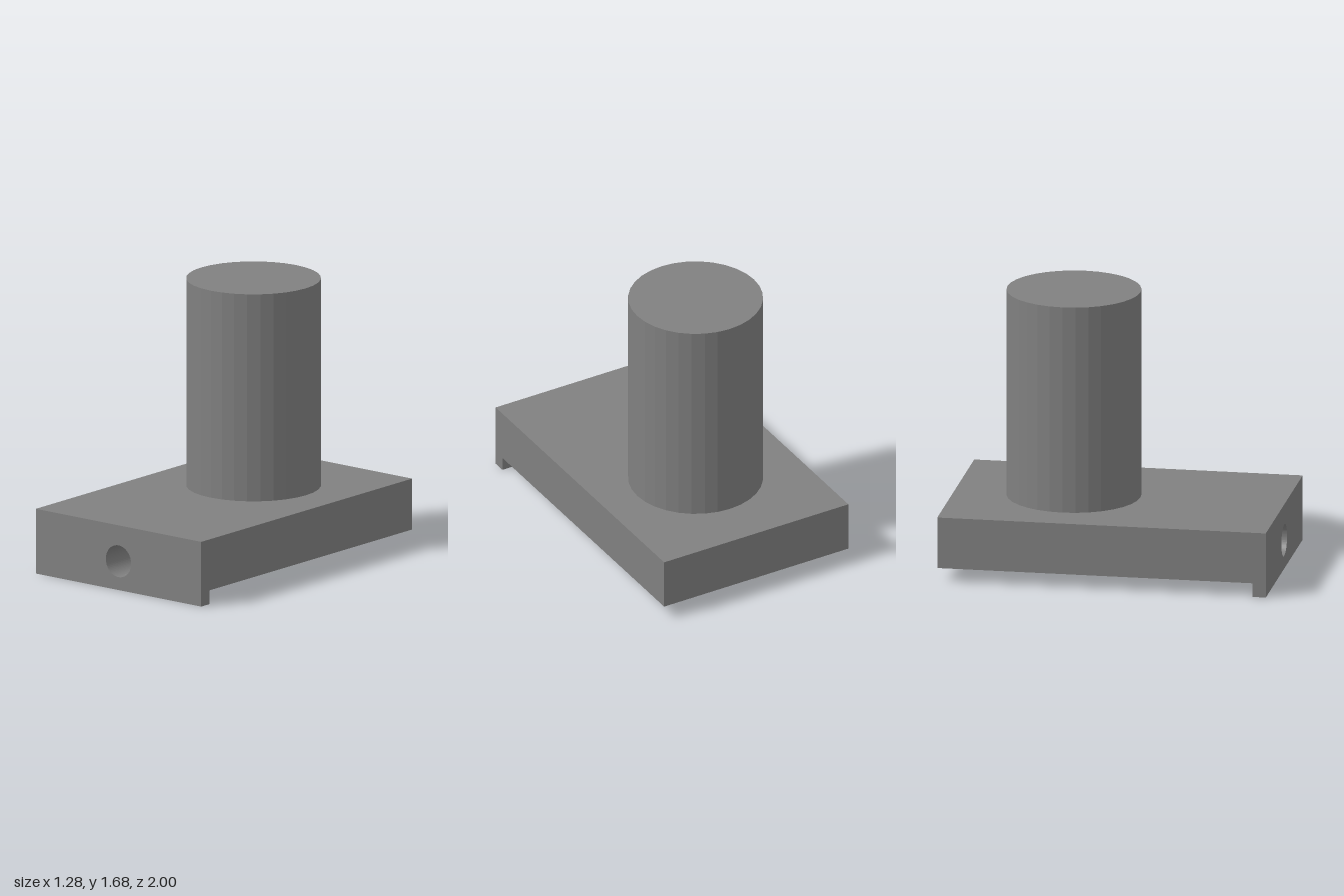
import * as THREE from 'three';

export function createModel() {
  const model = new THREE.Group();
  const grey = new THREE.MeshStandardMaterial({ color: 0x808080, flatShading: true });
  grey.name = 'plain grey';
  const greyThin = grey.clone();
  greyThin.side = THREE.DoubleSide;
  greyThin.name = 'plain grey thin';

  const W = 0.64, TOP = 0.4, BOTTOM = 0.085, LIP = 0.92;
  const boreR = 0.098, boreY = 0.178;

  function add(name, geometry, x, y, z, material = grey) {
    const mesh = new THREE.Mesh(geometry, material);
    mesh.name = name;
    mesh.position.set(x, y, z);
    model.add(mesh);
    return mesh;
  }
  const extrude = (shape, depth) =>
    new THREE.ExtrudeGeometry(shape, { depth, bevelEnabled: false, curveSegments: 32 });

  // Front lip, reaching the ground, with the round bore through it
  const lip = new THREE.Shape();
  lip.moveTo(-W, 0).lineTo(W, 0).lineTo(W, TOP).lineTo(-W, TOP).closePath();
  const hole = new THREE.Path();
  hole.absarc(0, boreY, boreR, 0, Math.PI * 2, true);
  lip.holes.push(hole);
  add('frontLip', extrude(lip, 1 - LIP), 0, 0, LIP);

  // Base block: the bore just breaks through its underside
  const half = Math.acos((boreY - BOTTOM) / boreR);
  const down = -Math.PI / 2;
  const slot = boreR * Math.sin(half);
  const block = new THREE.Shape();
  block.moveTo(-W, BOTTOM).lineTo(-slot, BOTTOM);
  block.absarc(0, boreY, boreR, down - half, down + half, true);
  block.lineTo(W, BOTTOM).lineTo(W, TOP).lineTo(-W, TOP).closePath();
  add('baseBlock', extrude(block, LIP + 0.99), 0, 0, -0.99);

  // Closed back end of the bore
  add('backWall', new THREE.BoxGeometry(2 * W, TOP - BOTTOM, 0.01), 0, (TOP + BOTTOM) / 2, -0.995);

  // Thin curved floor of the bore, showing as a rib under the base
  const floor = new THREE.CylinderGeometry(boreR, boreR, LIP + 1, 4, 1, true, -half, 2 * half);
  floor.rotateX(Math.PI / 2);
  add('boreFloor', floor, 0, boreY, (LIP - 1) / 2, greyThin);

  // Upright post
  add('post', new THREE.CylinderGeometry(0.405, 0.405, 1.28, 32), 0, TOP + 0.64, -0.28);

  return model;
}
